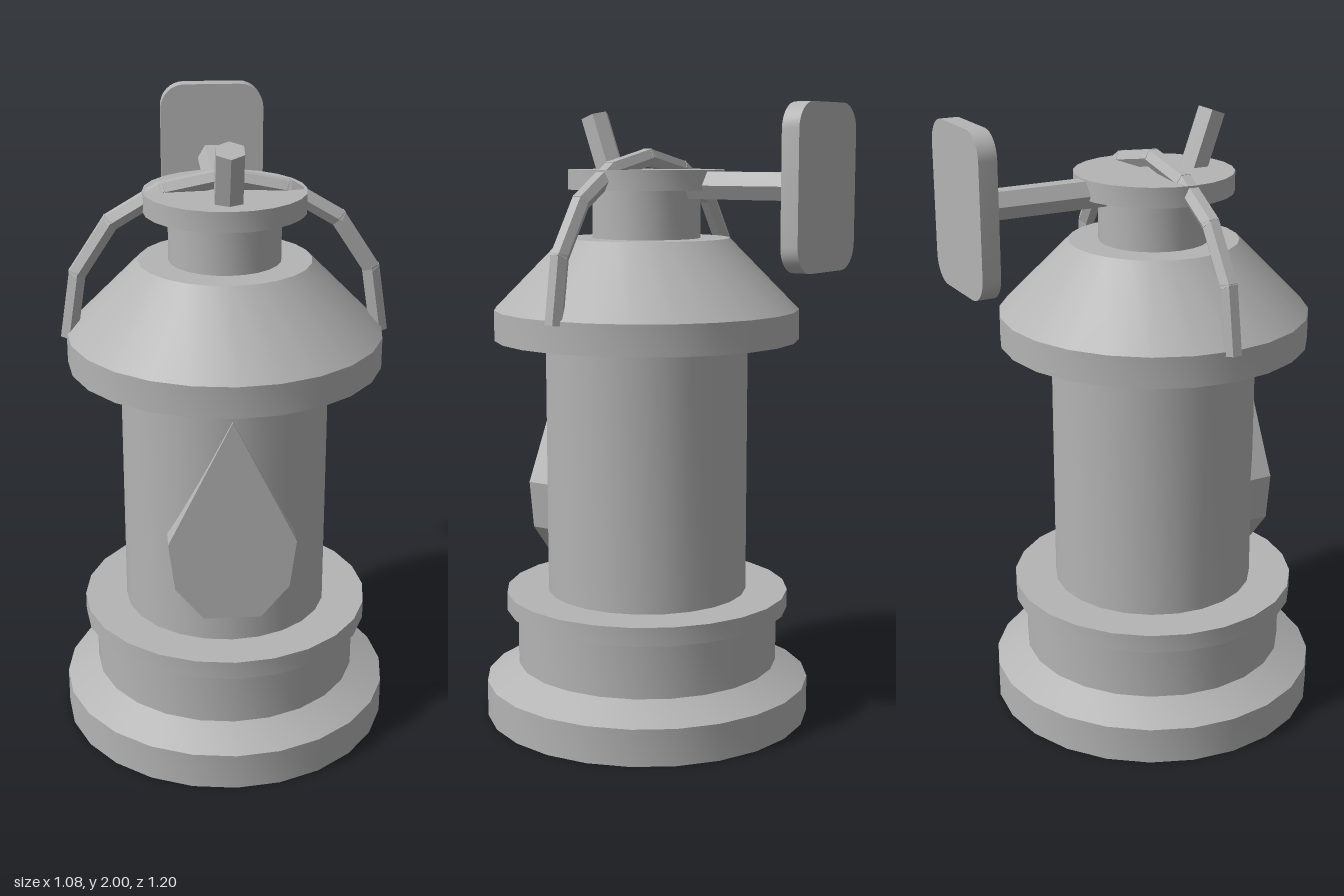
import * as THREE from 'three';
import { toCreasedNormals } from 'three/addons/utils/BufferGeometryUtils.js';

const AXIS_Z = 0.06;

export function createModel() {
  const model = new THREE.Group();
  model.name = 'lantern';
  const grey = new THREE.MeshStandardMaterial({ color: 0xb4b4b4 });
  grey.name = 'grey metal';

  const add = (name, geometry, parent = model) => {
    const mesh = new THREE.Mesh(toCreasedNormals(geometry, 0.5), grey);
    mesh.name = name;
    parent.add(mesh);
    return mesh;
  };
  // Turned part from a closed bottom-to-top profile of [radius, y]
  const turned = (name, profile) => {
    const points = profile.map(([r, y]) => new THREE.Vector2(r, y));
    const first = new THREE.Vector2(0, profile[0][1]);
    const last = new THREE.Vector2(0, profile[profile.length - 1][1]);
    add(name, new THREE.LatheGeometry([first, ...points, last], 24)).position.z = AXIS_Z;
  };
  // Six-sided rod between two points
  const rod = (name, a, b, radius, parent) => {
    const dir = b.clone().sub(a);
    const mesh = add(name, new THREE.CylinderGeometry(radius, radius, dir.length(), 6), parent);
    mesh.position.copy(a).add(b).multiplyScalar(0.5);
    mesh.quaternion.setFromUnitVectors(new THREE.Vector3(0, 1, 0), dir.normalize());
    return mesh;
  };
  const v = (x, y, z) => new THREE.Vector3(x, y, z);

  // Turned body
  turned('base', [[0.538, 0], [0.538, 0.12], [0.432, 0.178], [0.432, 0.36]]);
  turned('baseRing', [[0.468, 0.36], [0.468, 0.42]]);
  turned('body', [[0.33, 0.42], [0.33, 1.26]]);
  turned('hood', [[0.495, 1.257], [0.495, 1.355], [0.27, 1.583]]);
  turned('neck', [[0.175, 1.583], [0.175, 1.737]]);
  turned('lid', [[0.252, 1.737], [0.252, 1.8]]);

  // Flame-shaped plate on the front
  const half = [[0.2, 0.77], [0.18, 0.613], [0.09, 0.505]];
  const outline = [[0, 1.177], ...half.map(([x, y]) => [-x, y]), ...half.slice().reverse()];
  const flame = new THREE.Shape(outline.map(([x, y]) => new THREE.Vector2(x, y)));
  add('flamePlate', new THREE.ExtrudeGeometry(flame, { depth: 0.18, bevelEnabled: false }))
    .position.z = 0.218;

  // Leaning peg on the lid
  rod('peg', v(0, 1.741, 0.183), v(0, 1.968, 0.266), 0.048);

  // Arm and rounded plate at the back
  const arm = rod('backArm', v(0, 1.752, -0.12), v(0, 1.752, -0.55), 0.049);
  arm.rotateY(Math.PI / 6);
  const w = 0.173, h = 0.25, r = 0.08;
  const plate = new THREE.Shape();
  plate.moveTo(-w + r, -h);
  plate.absarc(w - r, -h + r, r, -Math.PI / 2, 0);
  plate.absarc(w - r, h - r, r, 0, Math.PI / 2);
  plate.absarc(-w + r, h - r, r, Math.PI / 2, Math.PI);
  plate.absarc(-w + r, -h + r, r, Math.PI, Math.PI * 1.5);
  add('backPlate', new THREE.ExtrudeGeometry(plate, { depth: 0.058, bevelEnabled: false, curveSegments: 4 }))
    .position.set(0, 1.75, -0.6);

  // Carrying handle: a jointed arch over the lid
  const handle = new THREE.Group();
  handle.name = 'handle';
  model.add(handle);
  const arch = [[0.487, 1.34], [0.455, 1.545], [0.35, 1.705], [0.19, 1.8], [0, 1.838]];
  for (const side of [-1, 1]) {
    for (let i = 0; i < arch.length - 1; i++) {
      const a = v(side * arch[i][0], arch[i][1], 0.055);
      const b = v(side * arch[i + 1][0], arch[i + 1][1], 0.055);
      const overlap = b.clone().sub(a).setLength(0.008);
      if (i > 0) a.sub(overlap);
      rod('handleLink', a, b.add(overlap), 0.03, handle);
    }
  }
  return model;
}
